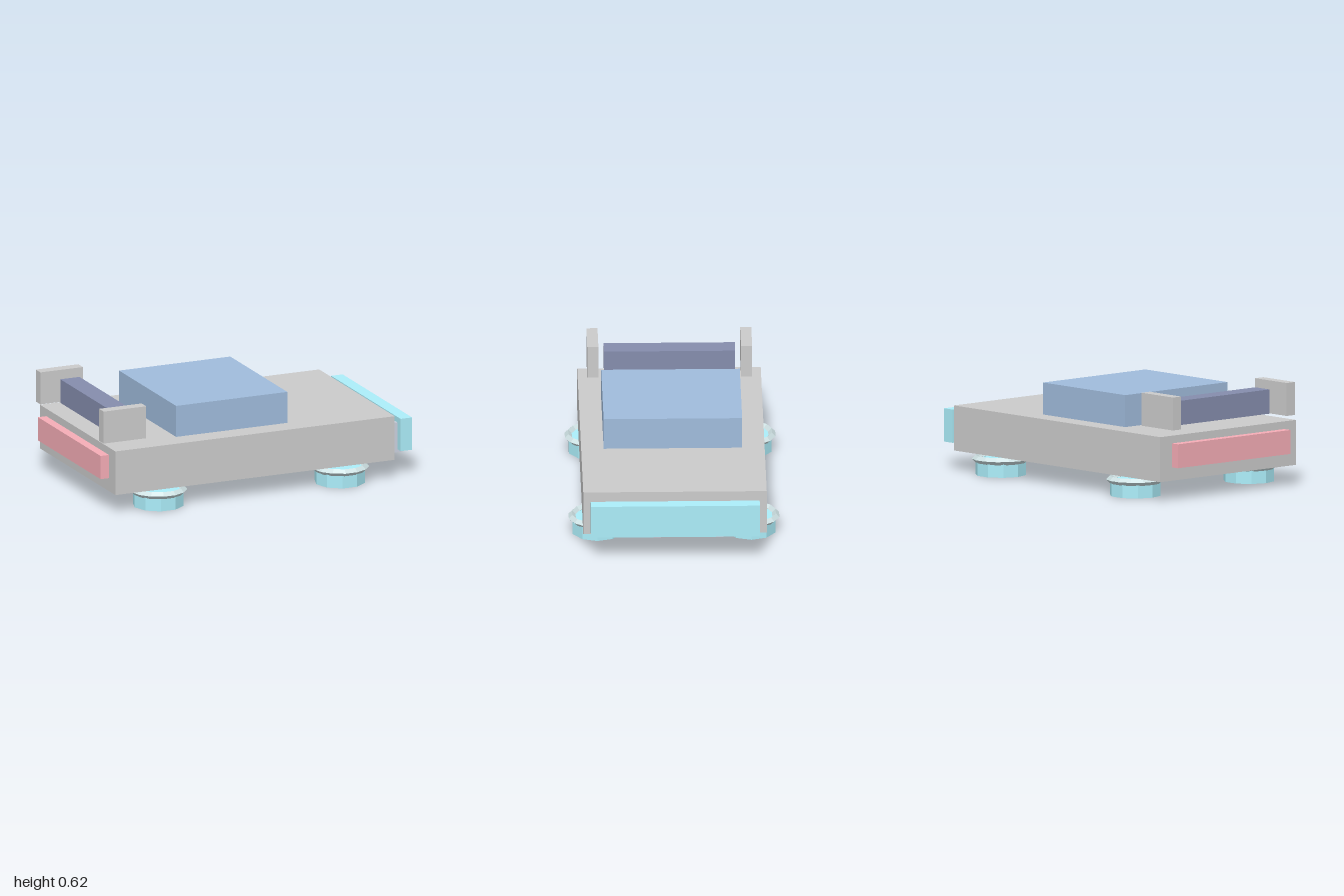
import * as THREE from 'three';

const material = (color) => new THREE.MeshStandardMaterial({ color, flatShading: true });

export function createModel() {
  const model = new THREE.Group();
  model.name = 'vehicle';

  const grey = material(0xcccccc);
  const blue = material(0xa0bcdc);
  const cyan = material(0xaceefa);
  const red = material(0xf6adb7);
  const indigo = material(0x858dad);
  const paleBlue = material(0xccd2e0);
  const paleCyan = material(0xcfe2e4);

  // Box given by its extents along each axis
  function box(name, mat, [x0, x1], [y0, y1], [z0, z1]) {
    const mesh = new THREE.Mesh(new THREE.BoxGeometry(x1 - x0, y1 - y0, z1 - z0), mat);
    mesh.position.set((x0 + x1) / 2, (y0 + y1) / 2, (z0 + z1) / 2);
    mesh.name = name;
    model.add(mesh);
  }

  // Body, cabin and both ends
  box('body', grey, [-0.946, 0.867], [0.118, 0.387], [-0.543, 0.543]);
  box('cabin', blue, [-0.492, 0.23], [0.387, 0.578], [-0.41, 0.41]);
  box('tailLight', red, [-1, -0.946], [0.198, 0.341], [-0.45, 0.45]);
  box('bumperMount', paleBlue, [0.86, 0.958], [0.134, 0.318], [-0.452, 0.452]);
  box('bumper', cyan, [0.925, 1], [0.153, 0.352], [-0.5, 0.5]);

  // Rear wing between two upright fins
  box('rearWing', indigo, [-0.883, -0.759], [0.432, 0.577], [-0.388, 0.388]);
  box('leftFin', grey, [-0.997, -0.721], [0.427, 0.624], [0.422, 0.488]);
  box('rightFin', grey, [-0.997, -0.721], [0.427, 0.624], [-0.488, -0.422]);

  // Hover pads: ten-sided drum with a diamond-section ring around its top
  const drum = new THREE.CylinderGeometry(0.1525, 0.1525, 0.095, 10, 1, false, Math.PI / 2);
  const ring = new THREE.TorusGeometry(0.151, 0.0215, 4, 14).rotateX(Math.PI / 2);
  for (const x of [-0.629, 0.551]) {
    for (const z of [-0.455, 0.455]) {
      const pad = new THREE.Group();
      pad.name = 'hoverPad';
      const drumMesh = new THREE.Mesh(drum, cyan);
      drumMesh.name = 'padDrum';
      drumMesh.position.y = 0.0475;
      const ringMesh = new THREE.Mesh(ring, paleCyan);
      ringMesh.name = 'padRing';
      ringMesh.position.y = 0.096;
      pad.add(drumMesh, ringMesh);
      pad.position.set(x, 0, z);
      model.add(pad);
    }
  }

  return model;
}
